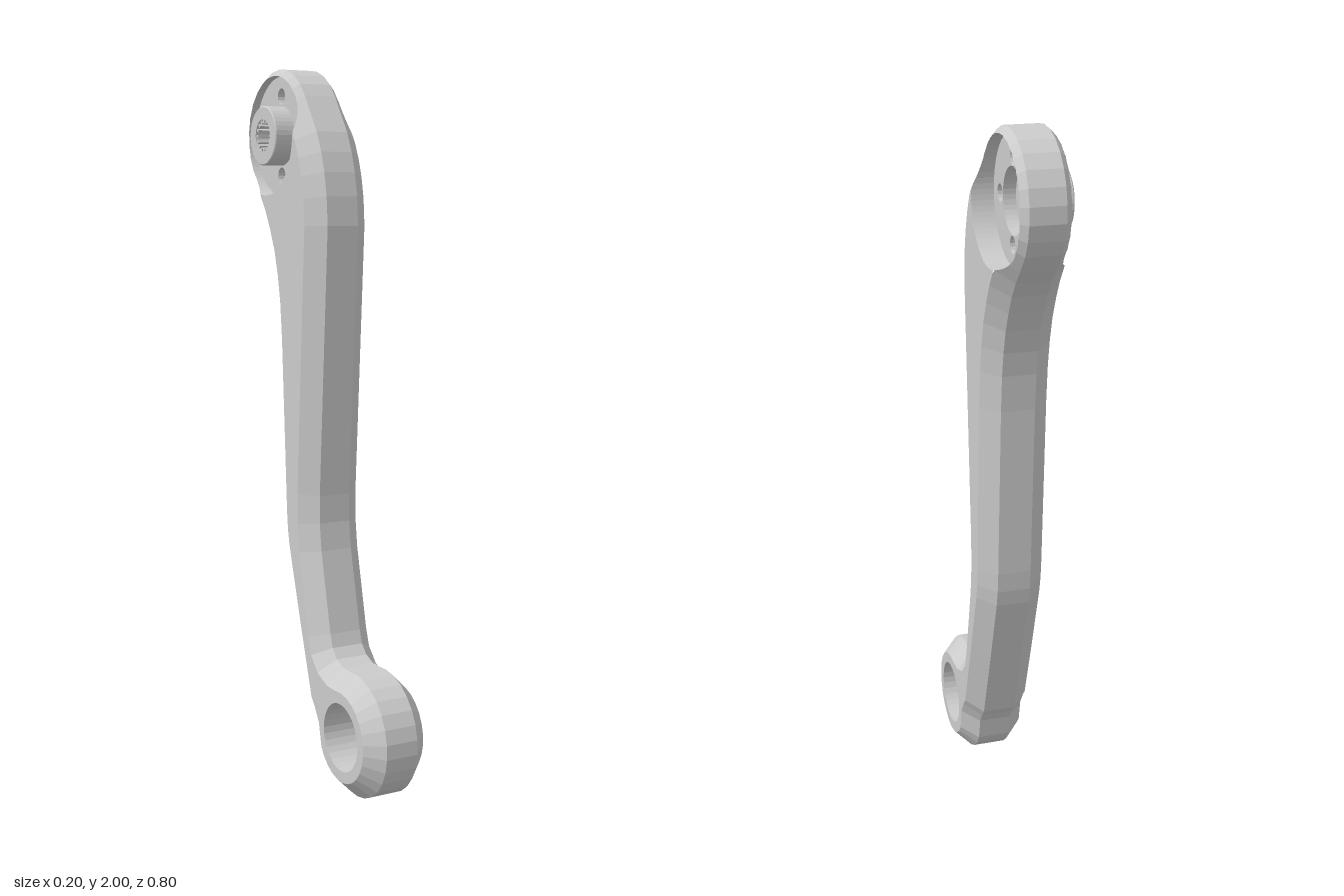
import * as THREE from 'three';

// Local frame: u = -z, v = y, w = x (the whole group is turned at the end)
const V2 = (u, v) => new THREE.Vector2(u, v);
const HEAD = V2(0.215, 1.815), HEAD_R = 0.186, POCKET_R = 0.167;
const EYE = V2(-0.23, 0.174), EYE_R = 0.174, EYE_HOLE = 0.095;
const CHAMFER = 0.047, W_BACK = -0.045, W_FRONT = 0.05;
const FLOOR_BACK = -0.04, FLOOR_FRONT = 0.035;

const material = new THREE.MeshStandardMaterial({ color: 0xcccccc, flatShading: true });

function part(name, geometry) {
  geometry.computeVertexNormals();
  const mesh = new THREE.Mesh(geometry, material);
  mesh.name = name;
  return mesh;
}

// Points on an arc, angles in degrees
function arc(c, r, from, to, n) {
  return Array.from({ length: n + 1 }, (_, i) => {
    const a = THREE.MathUtils.degToRad(from + (to - from) * i / n);
    return V2(c.x + r * Math.cos(a), c.y + r * Math.sin(a));
  });
}

// Closed band of quads between two loops of 3D points
function band(a, b) {
  const n = a.length, index = [];
  for (let i = 0; i < n; i++) {
    const j = (i + 1) % n;
    index.push(i, j, n + j, i, n + j, n + i);
  }
  return new THREE.BufferGeometry().setFromPoints([...a, ...b]).setIndex(index);
}

const lift = (pts, w) => pts.map((p, i) => new THREE.Vector3(p.x, p.y, typeof w === 'function' ? w(p, i) : w));
const circle = (c, r, n) => arc(c, r, 0, 360, n).slice(0, n);

// Side outline of the arm, counter-clockwise, resampled finely
function armOutline() {
  const frontEdge = [[-0.008, 1.82], [-0.034, 1.765], [-0.052, 1.71], [-0.065, 1.645], [-0.071, 1.565],
    [-0.024, 0.81], [-0.024, 0.73], [-0.034, 0.652], [-0.087, 0.424], [-0.1, 0.387],
    [-0.125, 0.361], [-0.16, 0.347], [-0.195, 0.346]];
  const backEdge = [[-0.061, 0.16], [-0.042, 0.19], [-0.019, 0.217], [0.05, 0.424], [0.119, 0.642], [0.129, 0.69],
    [0.135, 0.748], [0.156, 1.13], [0.162, 1.24], [0.172, 1.342], [0.185, 1.41], [0.204, 1.475],
    [0.229, 1.53], [0.257, 1.58], [0.29, 1.624], [0.325, 1.66]];
  const corners = [
    ...arc(HEAD, HEAD_R, 62, 146, 6),
    ...frontEdge.map(p => V2(...p)),
    ...arc(EYE, EYE_R, 92, 332, 18),
    ...backEdge.map(p => V2(...p)),
    ...arc(HEAD, HEAD_R, -35, 48, 6),
  ];
  const out = [];
  corners.forEach((p, i) => {
    const q = corners[(i + 1) % corners.length];
    const n = Math.ceil(p.distanceTo(q) / 0.012);
    for (let k = 0; k < n; k++) out.push(p.clone().lerp(q, k / n));
  });
  return out;
}

// Outline moved inwards by d with mitred corners
function inset(pts, d) {
  const n = pts.length;
  return pts.map((p, i) => {
    const a = p.clone().sub(pts[(i + n - 1) % n]).normalize();
    const b = pts[(i + 1) % n].clone().sub(p).normalize();
    const m = V2(-a.y - b.y, a.x + b.x);
    return p.clone().addScaledVector(m, d / (1 + a.dot(b)));
  });
}

export function createModel() {
  const model = new THREE.Group();
  model.name = 'leverArm';
  const arm = new THREE.Group();
  arm.name = 'arm';
  arm.rotation.y = Math.PI / 2;
  model.add(arm);

  const outline = armOutline();
  const inner = inset(outline, CHAMFER);
  const inPocket = p => p.distanceTo(HEAD) < POCKET_R;

  // Share of the chamfer left at each outline point where the round pocket cuts it
  const share = outline.map((p, i) => {
    if (!inPocket(inner[i])) return 1;
    let lo = 0, hi = 1;
    for (let k = 0; k < 20; k++) {
      const t = (lo + hi) / 2;
      if (inPocket(p.clone().lerp(inner[i], t))) hi = t; else lo = t;
    }
    return lo;
  });
  const rim = outline.map((p, i) => p.clone().lerp(inner[i], share[i]));
  const depth = p => Math.min(CHAMFER, Math.min(...outline.map(o => o.distanceTo(p))));

  // Edge wall and chamfers
  arm.add(part('edgeWall', band(lift(outline, W_BACK), lift(outline, W_FRONT))));
  arm.add(part('leftChamfer', band(lift(outline, W_FRONT), lift(rim, (p, i) => W_FRONT + CHAMFER * share[i]))));
  arm.add(part('rightChamfer', band(lift(rim, (p, i) => W_BACK - CHAMFER * share[i]), lift(outline, W_BACK))));

  // Flat side faces, bounded by the pocket arc and pierced by the eye
  const pocketArc = arc(HEAD, POCKET_R, -20, -240, 110).filter(p => depth(p) > CHAMFER * 0.999);
  const face = new THREE.Shape([...inner.filter(p => !inPocket(p)), ...pocketArc]);
  const eyeLoop = circle(EYE, EYE_HOLE, 32);
  face.holes.push(new THREE.Path(eyeLoop));
  const leftFace = new THREE.ShapeGeometry(face);
  const rightFace = leftFace.clone();
  rightFace.index.array.reverse();
  leftFace.translate(0, 0, W_FRONT + CHAMFER);
  rightFace.translate(0, 0, W_BACK - CHAMFER);
  arm.add(part('leftFace', leftFace), part('rightFace', rightFace));

  // Eye bore
  arm.add(part('eyeBore', band(lift(eyeLoop, W_FRONT + CHAMFER), lift(eyeLoop, W_BACK - CHAMFER))));

  // Pocket walls, following the cut chamfer
  const pocket = circle(HEAD, POCKET_R, 72);
  arm.add(part('leftPocketWall', band(lift(pocket, p => W_FRONT + depth(p)), lift(pocket, FLOOR_FRONT))));
  arm.add(part('rightPocketWall', band(lift(pocket, FLOOR_BACK), lift(pocket, p => W_BACK - depth(p)))));

  // Web between the pockets with the central bore and four bolt holes
  const web = new THREE.Shape(pocket);
  web.holes.push(new THREE.Path(circle(HEAD, 0.086, 40)));
  for (let i = 0; i < 4; i++) {
    const a = i * Math.PI / 2;
    const c = V2(HEAD.x + 0.111 * Math.cos(a), HEAD.y + 0.111 * Math.sin(a));
    web.holes.push(new THREE.Path(circle(c, 0.023, 16)));
  }
  const webGeometry = new THREE.ExtrudeGeometry(web, { depth: FLOOR_FRONT - FLOOR_BACK, bevelEnabled: false });
  arm.add(part('web', webGeometry.translate(0, 0, FLOOR_BACK)));

  // Hub boss with a stepped bore
  const hub = new THREE.Group();
  hub.name = 'hub';
  hub.position.set(HEAD.x, HEAD.y, 0);
  arm.add(hub);
  const profile = [[0.046, -0.1], [0.08, -0.1], [0.083, -0.097], [0.083, -0.04], [0.086, -0.04],
    [0.086, 0], [0.027, 0], [0.027, -0.04], [0.046, -0.04], [0.046, -0.1]].map(p => V2(...p));
  hub.add(part('boss', new THREE.LatheGeometry(profile, 40).rotateX(Math.PI / 2)));

  // Splines inside the boss
  const teeth = 16;
  for (let i = 0; i < teeth; i++) {
    const tooth = part('splineTooth', new THREE.BoxGeometry(0.011, 0.007, 0.056).translate(0.0415, 0, -0.069));
    tooth.rotation.z = i / teeth * Math.PI * 2;
    hub.add(tooth);
  }
  return model;
}
